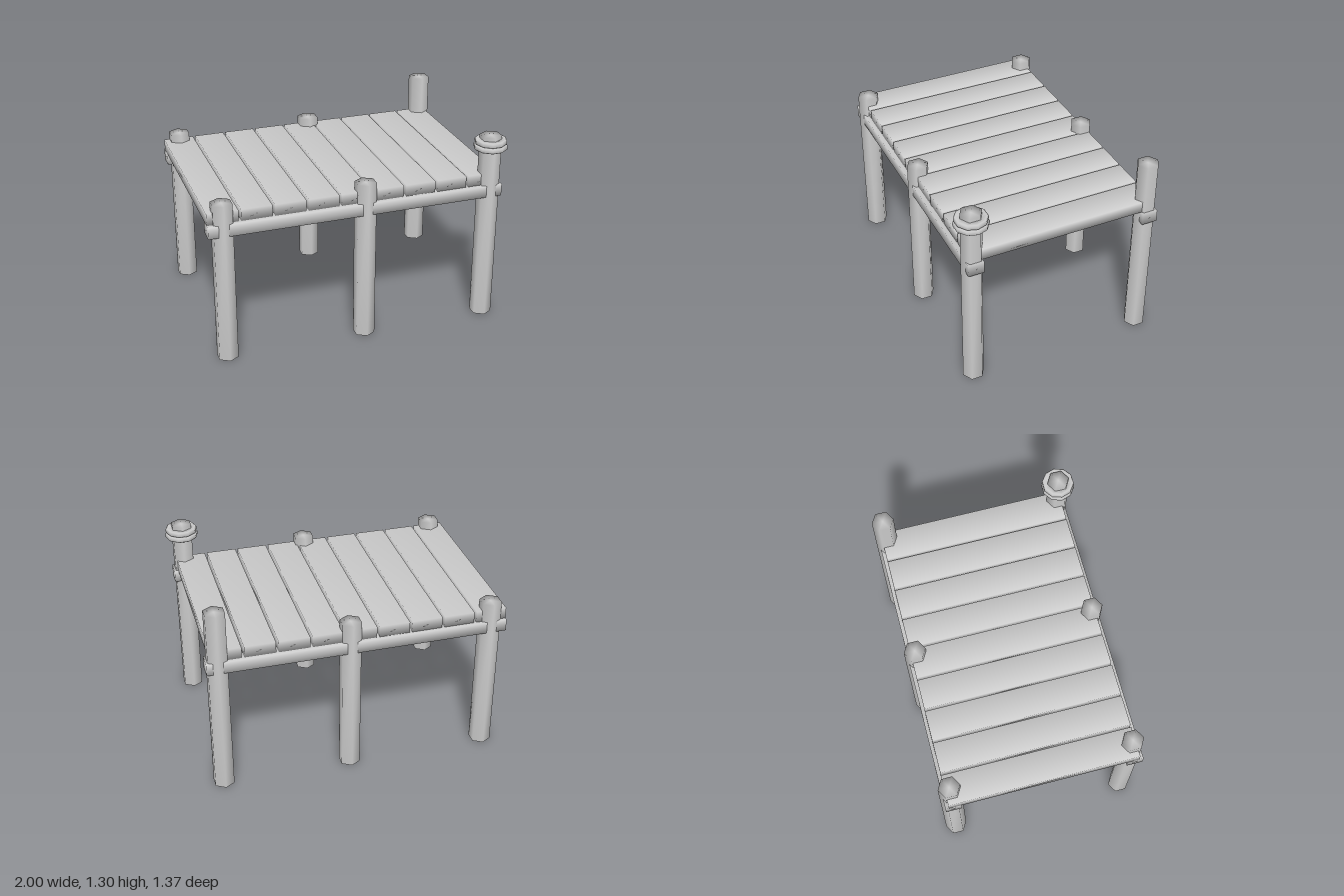
import * as THREE from 'three';
import { mergeVertices } from 'three/addons/utils/BufferGeometryUtils.js';

// Weld corners so normals blend softly over the edges
function soften(geometry) {
  geometry.deleteAttribute('normal');
  geometry.deleteAttribute('uv');
  const welded = mergeVertices(geometry, 1e-4);
  welded.computeVertexNormals();
  return welded;
}

export function createModel() {
  const group = new THREE.Group();
  const wood = new THREE.MeshStandardMaterial({ color: 0xcccccc });
  wood.name = 'pale grey';

  const add = (name, geometry, x, y, z) => {
    const mesh = new THREE.Mesh(soften(geometry), wood);
    mesh.name = name;
    mesh.position.set(x, y, z);
    group.add(mesh);
    return mesh;
  };

  // Six hexagonal posts, the right-hand pair taller
  for (const z of [-0.612, 0.579]) {
    for (const [x, h] of [[-0.9, 1.09], [0.032, 1.09], [0.885, 1.296]]) {
      add('post', new THREE.CylinderGeometry(0.072, 0.072, h, 6), x, h / 2, z);
    }
  }

  // Long rails under the deck
  for (const z of [-0.613, 0.58]) {
    add('rail', new THREE.BoxGeometry(1.96, 0.08, 0.104), -0.02, 0.92, z);
  }

  // Deck planks
  for (let i = 0; i < 9; i++) {
    add('plank', new THREE.BoxGeometry(0.2, 0.076, 1.245), -0.9 + i * 0.2167, 0.998, -0.02);
  }

  // Two rope loops around the tall front post
  for (const [radius, y] of [[0.11, 1.219], [0.105, 1.255]]) {
    const inner = 0.06, h = 0.017;
    const profile = [
      [inner, -h], [radius - 0.008, -h], [radius, -h * 0.6], [radius, h * 0.6],
      [radius - 0.008, h], [inner, h], [inner, -h],
    ].map(([r, py]) => new THREE.Vector2(r, py));
    const loop = add('ropeLoop', new THREE.LatheGeometry(profile, 10), 0.887, y, 0.579);
    loop.rotation.y = Math.PI / 2;
  }

  return group;
}
